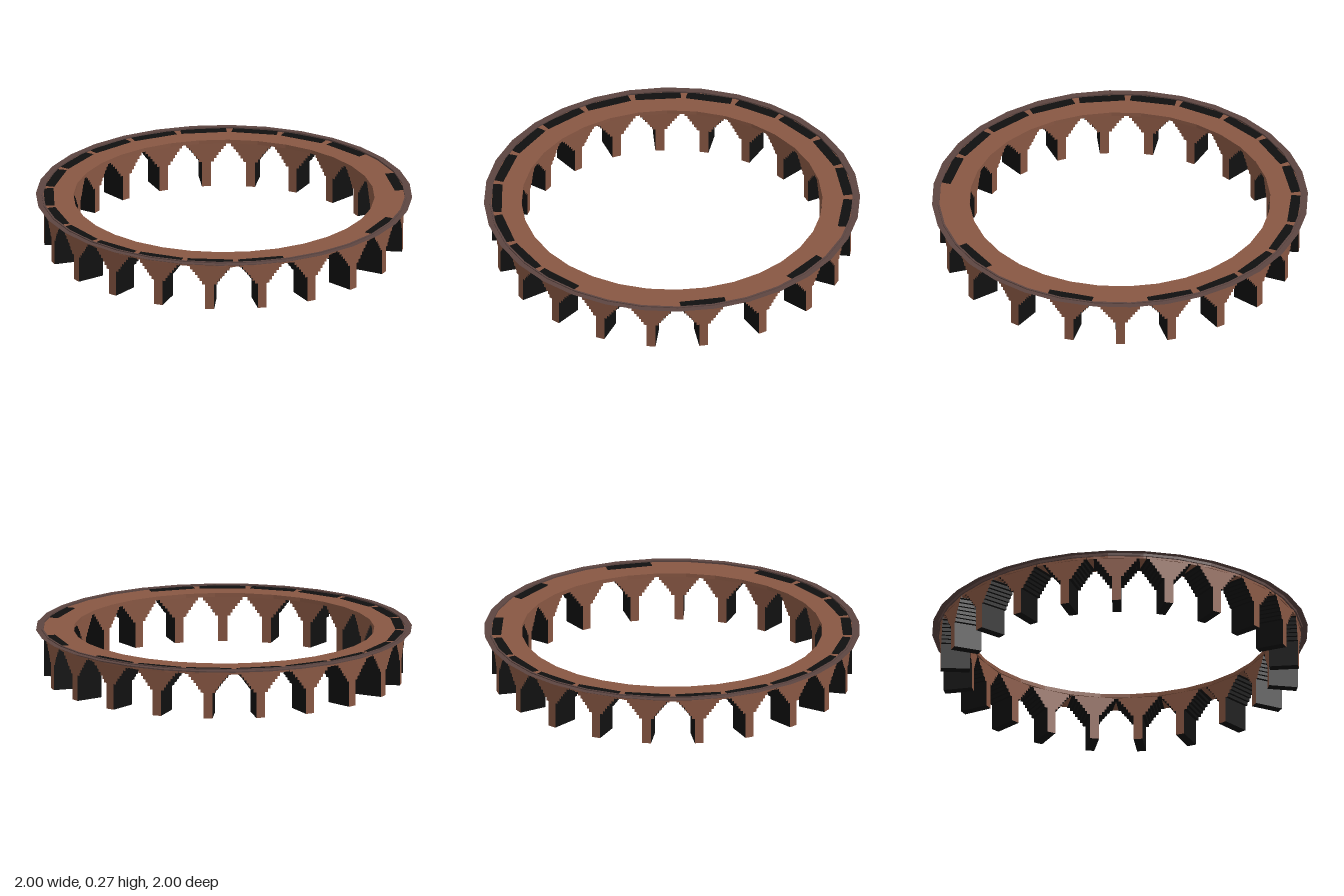
import * as THREE from 'three';

const SIDES = 32;
const brown = new THREE.MeshStandardMaterial({ color: 0x885743 });
const black = new THREE.MeshStandardMaterial({ color: 0x101010 });
const rimBrown = new THREE.MeshStandardMaterial({ color: 0x5c4541, side: THREE.DoubleSide });
brown.name = 'brown brick';
black.name = 'black';
rimBrown.name = 'dark rim';

// Faceted ring with a rectangular section
function ring(name, r0, r1, y0, y1, material) {
  const section = [[r0, y0], [r1, y0], [r1, y1], [r0, y1], [r0, y0]];
  const geo = new THREE.LatheGeometry(section.map(p => new THREE.Vector2(...p)), SIDES).toNonIndexed();
  geo.computeVertexNormals();
  const mesh = new THREE.Mesh(geo, material);
  mesh.name = name;
  return mesh;
}

// Pier outline: narrow foot, corbelled out in steps to the full panel width
const INNER = 0.80, OUTER = 0.955, TOP = 0.26;
function pierGeometry() {
  const steps = [ // half width, height where it starts
    [0.024, 0], [0.04, 0.14], [0.053, 0.158], [0.065, 0.175],
    [0.078, 0.192], [0.091, 0.208], [0.105, 0.224], [0.122, 0.241],
  ];
  const right = [];
  steps.forEach(([w, y], i) => {
    const next = i + 1 < steps.length ? steps[i + 1][1] : TOP;
    right.push([w, y], [w, next]);
  });
  const left = right.map(([x, y]) => [-x, y]).reverse();
  const shape = new THREE.Shape([...right, ...left].map(p => new THREE.Vector2(...p)));
  const geo = new THREE.ExtrudeGeometry(shape, { depth: OUTER - INNER, bevelEnabled: false });
  geo.translate(0, 0, INNER);
  return geo;
}

export function createModel() {
  const model = new THREE.Group();
  model.name = 'archedRing';

  // Deck, raised edge and thin overhanging flange
  model.add(ring('deck', 0.80, 0.962, 0.243, 0.264, brown));
  model.add(ring('edgeBand', 0.961, 0.971, 0.254, 0.273, rimBrown));
  const flange = new THREE.Mesh(new THREE.RingGeometry(0.965, 1, SIDES, 1), rimBrown);
  flange.name = 'flange';
  flange.rotation.x = -Math.PI / 2;
  flange.position.y = 0.268;
  model.add(flange);

  // Pier directions in degrees from the back, turning towards the model's right;
  // the run is even except where it closes
  const angles = Array.from({ length: 17 }, (_, k) => 8.4 + 16.87 * k);
  angles.push(298.5, 317.8, 334.4, 351);
  const bare = [14, 15, 17, 19]; // piers without an inlay on the deck

  const pierGeo = pierGeometry();
  const inlayGeo = new THREE.BoxGeometry(0.243, 0.004, 0.052);
  angles.forEach((deg, i) => {
    const bay = new THREE.Group();
    bay.name = 'bay' + (i + 1);
    bay.rotation.y = Math.PI + THREE.MathUtils.degToRad(deg);

    const pier = new THREE.Mesh(pierGeo, [brown, black]);
    pier.name = 'steppedPier';
    bay.add(pier);

    if (!bare.includes(i)) {
      const inlay = new THREE.Mesh(inlayGeo, black);
      inlay.name = 'deckInlay';
      inlay.position.set(0, 0.264, 0.929);
      bay.add(inlay);
    }
    model.add(bay);
  });
  return model;
}
